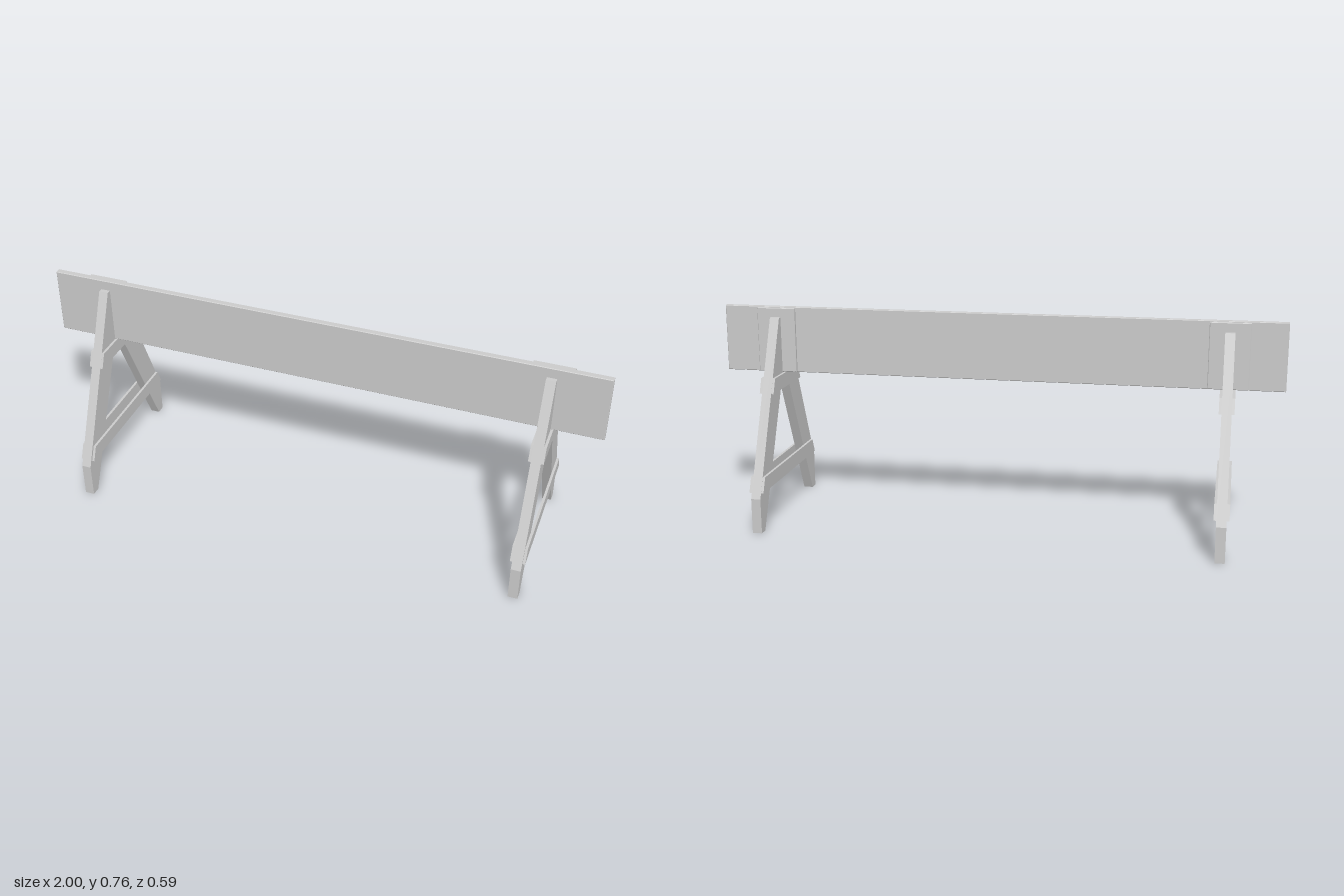
import * as THREE from 'three';

const material = new THREE.MeshStandardMaterial({ color: 0xcccccc, flatShading: true });

// Flat timber cut from a (z, y) outline, its thickness centred on x
function timber(name, points, thickness, x = 0) {
  const shape = new THREE.Shape(points.map(([z, y]) => new THREE.Vector2(z, y)));
  const geometry = new THREE.ExtrudeGeometry(shape, { depth: thickness, bevelEnabled: false });
  geometry.translate(0, 0, -thickness / 2).rotateY(-Math.PI / 2);
  const mesh = new THREE.Mesh(geometry, material);
  mesh.name = name;
  mesh.position.x = x;
  return mesh;
}

// Upright board with finely chamfered face edges
function board(name, width, y0, y1, z0, z1, x = 0) {
  const c = 0.002, w = width / 2 - c;
  const shape = new THREE.Shape([
    new THREE.Vector2(-w, y0 + c), new THREE.Vector2(w, y0 + c),
    new THREE.Vector2(w, y1 - c), new THREE.Vector2(-w, y1 - c),
  ]);
  const geometry = new THREE.ExtrudeGeometry(shape, {
    depth: z1 - z0 - 2 * c, bevelThickness: c, bevelSize: c, bevelSegments: 1,
  });
  geometry.translate(0, 0, z0 + c);
  const mesh = new THREE.Mesh(geometry, material);
  mesh.name = name;
  mesh.position.x = x;
  return mesh;
}

function createTrestle() {
  const trestle = new THREE.Group();
  trestle.name = 'trestle';

  // Splayed legs: vertical against the board, clipped foot at the bottom
  const leg = [
    [0.26, 0], [0.293, 0], [0.293, 0.125], [0.033, 0.725],
    [0.017, 0.725], [0.017, 0.525],
  ];
  trestle.add(timber('frontLeg', leg, 0.034));
  trestle.add(timber('backLeg', leg.map(([z, y]) => [-z, y]), 0.034));

  // Paired rails on both faces of the legs, ends cut to the leg slope
  const upper = [[-0.143, 0.47], [0.143, 0.47], [0.121, 0.522], [-0.121, 0.522]];
  const lower = [[-0.284, 0.145], [0.276, 0.145], [0.253, 0.197], [-0.261, 0.197]];
  for (const side of [-1, 1]) {
    trestle.add(timber('upperRail', upper, 0.009, side * 0.0215));
    trestle.add(timber('lowerRail', lower, 0.009, side * 0.0215));
  }

  // Backing plate between the board and the back leg
  trestle.add(board('backingPlate', 0.14, 0.526, 0.758, -0.018, -0.005));
  return trestle;
}

export function createModel() {
  const model = new THREE.Group();
  model.name = 'barricade';
  model.add(board('crossBoard', 2, 0.523, 0.761, -0.005, 0.017));
  for (const side of [-1, 1]) {
    const trestle = createTrestle();
    trestle.position.x = side * 0.805;
    model.add(trestle);
  }
  return model;
}
